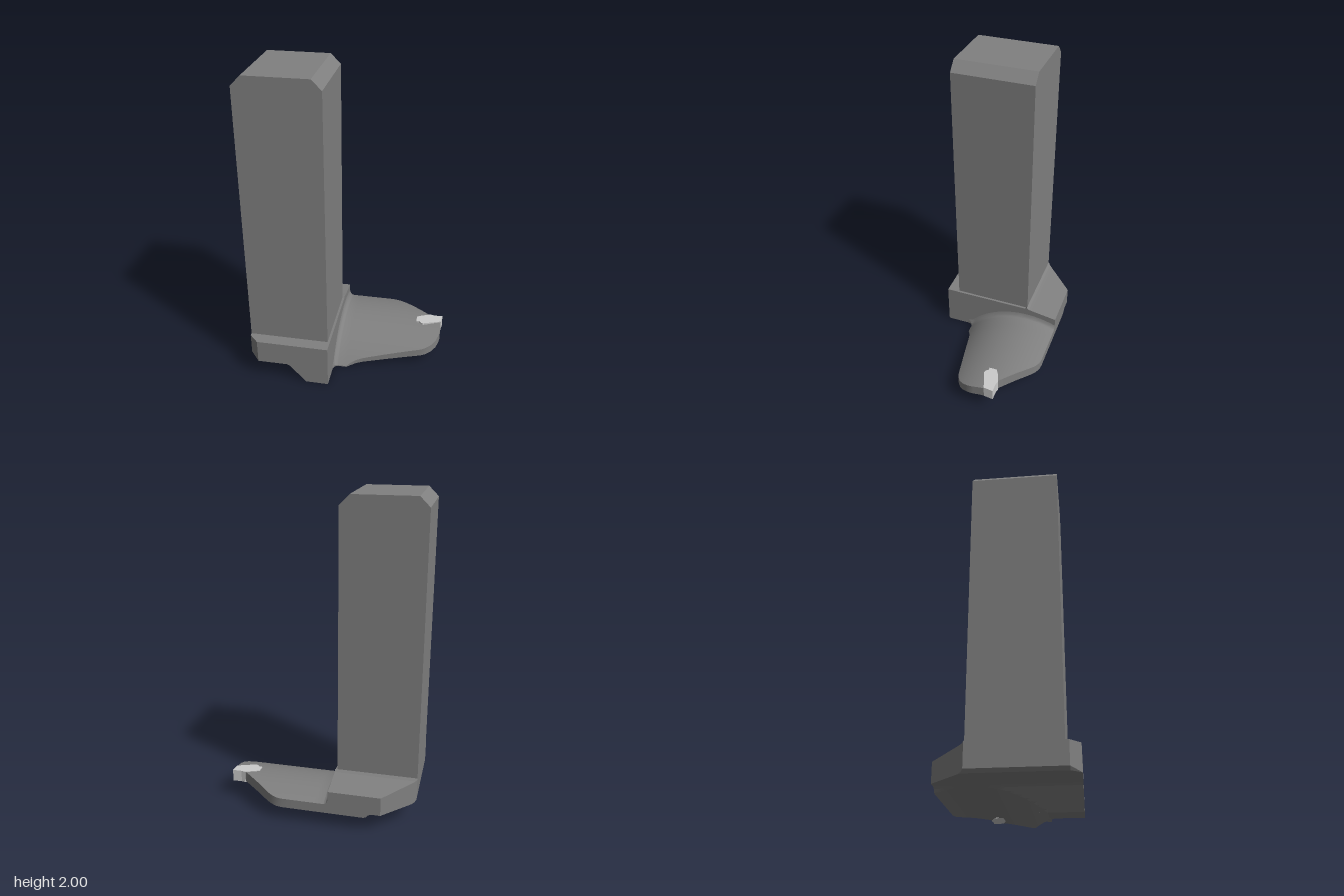
import * as THREE from 'three';
import { toCreasedNormals } from 'three/addons/utils/BufferGeometryUtils.js';

const steel = new THREE.MeshStandardMaterial({ color: 0x808080 });
const carbide = new THREE.MeshStandardMaterial({ color: 0xcccccc });

// Straight-line interpolation through [input, output] pairs
function lerpTable(table, v) {
  for (let i = 1; i < table.length; i++) {
    const [a, fa] = table[i - 1], [b, fb] = table[i];
    if (v <= b) return fa + (fb - fa) * Math.max(0, (v - a) / (b - a));
  }
  return table[table.length - 1][1];
}

const steps = (a, b, n) => Array.from({ length: n + 1 }, (_, i) => a + (b - a) * i / n);

// Arc in the z-y plane, crowned at z = -0.2
const arc = (r, crown, z) => crown - r + Math.sqrt(Math.max(0, r * r - (z + 0.2) ** 2));
const underside = z => Math.max(0, arc(0.70, 0.125, z));

// Solid between two height rules over a plan grid[i][j] = [x, z] (i along x, j along z)
function slab(grid, top, bottom, crease) {
  const pos = [];
  const T = ([x, z]) => new THREE.Vector3(x, top(x, z), z);
  const B = ([x, z]) => new THREE.Vector3(x, bottom(x, z), z);
  const tri = (a, b, c) => {
    const area = b.clone().sub(a).cross(c.clone().sub(a)).length();
    if (area > 1e-9) for (const p of [a, b, c]) pos.push(p.x, p.y, p.z);
  };
  const quad = (a, b, c, d) => { tri(a, b, c); tri(a, c, d); };
  const m = grid.length - 1, n = grid[0].length - 1;
  for (let i = 0; i < m; i++) for (let j = 0; j < n; j++) {
    const c = [grid[i][j], grid[i][j + 1], grid[i + 1][j + 1], grid[i + 1][j]];
    quad(...c.map(T));
    quad(...c.map(B).reverse());
  }
  // Walls round the outline
  const rim = [];
  for (let j = 0; j < n; j++) rim.push(grid[0][j]);
  for (let i = 0; i < m; i++) rim.push(grid[i][n]);
  for (let j = n; j > 0; j--) rim.push(grid[m][j]);
  for (let i = m; i > 0; i--) rim.push(grid[i][0]);
  rim.forEach((p, k) => {
    const q = rim[(k + 1) % rim.length];
    quad(B(p), B(q), T(q), T(p));
  });
  const g = new THREE.BufferGeometry();
  g.setAttribute('position', new THREE.Float32BufferAttribute(pos, 3));
  return toCreasedNormals(g, crease);
}

function extrude(points, depth) {
  const shape = new THREE.Shape(points.map(p => new THREE.Vector2(...p)));
  return new THREE.ExtrudeGeometry(shape, { depth, bevelEnabled: false });
}

// Square bar with a chamfered top
function shankGeometry() {
  const g = extrude([[-0.605, 0.26], [-0.10, 0.26], [-0.10, 1.94], [-0.16, 2],
    [-0.545, 2], [-0.605, 1.94]], 0.51);
  return g.translate(0, 0, -0.195);
}

// Block under the bar: stepped from the front, arched from the side, cut corners in plan
function headGeometry() {
  const left = [[-0.4, -0.41], [-0.2, -0.605], [0.335, -0.605], [0.395, -0.545]];
  const foot = [[-0.605, 0.145], [-0.59, 0.125], [-0.355, 0.125], [-0.335, 0.117],
    [-0.32, 0.1], [-0.23, 0], [-0.085, 0]];
  const roof = [[-0.4, 0.245], [-0.23, 0.273], [-0.21, 0.278], [-0.195, 0.292],
    [-0.185, 0.28], [0.395, 0.28]];
  const xs = [-0.605, -0.59, -0.545, ...steps(-0.5, -0.38, 4), -0.355, -0.335,
    ...steps(-0.32, -0.23, 6), -0.15, -0.085];
  const zs = [...steps(-0.4, -0.24, 8), -0.23, -0.21, -0.2, -0.195, -0.185,
    ...steps(-0.16, 0.2, 20), 0.335, 0.395];
  const grid = xs.map(x => zs.map(z => [Math.max(x, lerpTable(left, z)), z]));
  return slab(grid, (x, z) => lerpTable(roof, z),
    (x, z) => Math.max(lerpTable(foot, x), underside(z)), 0.35);
}

// Curved blade, crescent in section, with a fillet where it meets the head
function bladeGeometry() {
  const r = 0.035, root = -0.085;
  const fillet = x => {
    const d = Math.min(r, Math.max(0, x - root));
    return r - Math.sqrt(r * r - (r - d) ** 2);
  };
  const back = [[-0.085, -0.4], [0.21, -0.4], [0.25, -0.395], [0.29, -0.378],
    [0.335, -0.347], [0.51, -0.205], [0.57, -0.19], [0.596, -0.15]];
  const front = [[-0.085, 0.21], [0, 0.21], [0.03, 0.191], [0.06, 0.178], [0.1, 0.166],
    [0.48, 0.083], [0.515, 0.07], [0.55, 0.045], [0.575, 0.013], [0.59, -0.025], [0.596, -0.06]];
  const xs = [...steps(root, root + r, 6), 0, 0.03, 0.06, 0.1, 0.15, 0.21, 0.25, 0.29, 0.335,
    0.4, 0.48, 0.51, 0.53, 0.55, 0.565, 0.575, 0.583, 0.59, 0.596];
  const grid = xs.map(x => steps(lerpTable(back, x), lerpTable(front, x) + fillet(x), 32)
    .map(z => [x, z]));
  return slab(grid,
    (x, z) => Math.max(underside(z) + 0.003, arc(0.54, 0.195, z)) + fillet(x),
    (x, z) => underside(z), 0.6);
}

// Cutting tip set into the blade
function insertGeometry() {
  const plan = [[0.43, -0.165], [0.46, -0.182], [0.52, -0.205], [0.545, -0.199], [0.603, -0.2],
    [0.596, -0.138], [0.475, -0.095], [0.46, -0.102], [0.45, -0.115], [0.43, -0.115]];
  const g = extrude(plan.map(([x, z]) => [x, -z]).reverse(), 0.078);
  return g.rotateX(-Math.PI / 2).translate(0, 0.12, 0);
}

export function createModel() {
  const group = new THREE.Group();
  group.name = 'toolHolder';
  const add = (name, geometry, material) => {
    const mesh = new THREE.Mesh(geometry, material);
    mesh.name = name;
    group.add(mesh);
  };
  add('shank', shankGeometry(), steel);
  add('head', headGeometry(), steel);
  add('blade', bladeGeometry(), steel);
  add('cuttingInsert', insertGeometry(), carbide);
  return group;
}
